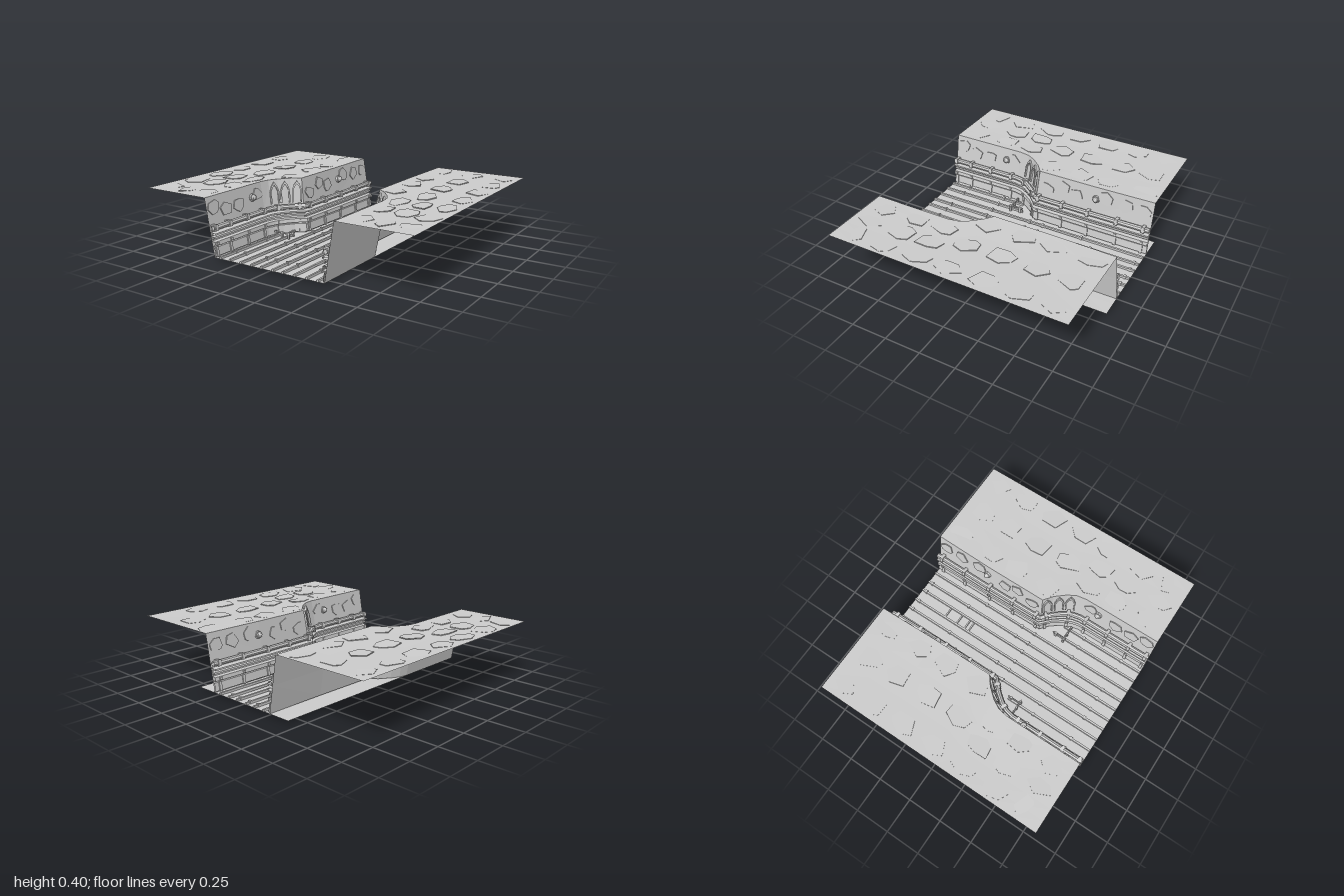
import * as THREE from 'three';

const mat = new THREE.MeshStandardMaterial({ color: 0xcccccc, flatShading: true, side: THREE.DoubleSide });
const FLOOR = 0.015, TOP = 0.4, END = 0.835;

// wall line on the left side, back to front, as [x, z] at its crest and at its foot
const crest = [[0.33, -END], [0.32, -0.4], [0.32, 0.03], [0.385, 0.08], [0.445, 0.15], [0.478, 0.21], [0.49, 0.28], [0.49, END]];
const foot = [[0.265, -END], [0.265, -0.4], [0.27, 0.055], [0.33, 0.1], [0.38, 0.17], [0.41, 0.23], [0.425, 0.29], [0.425, END]];

let seed = 7;
const rand = (a = 0, b = 1) => {
  seed = (seed * 16807) % 2147483647;
  return a + (b - a) * seed / 2147483647;
};

function add(parent, name, geometry, x = 0, y = 0, z = 0) {
  const mesh = new THREE.Mesh(geometry, mat);
  mesh.name = name;
  mesh.position.set(x, y, z);
  parent.add(mesh);
  return mesh;
}

// skin over rows of points
function loft(rows) {
  const n = rows[0].length, index = [];
  for (let i = 0; i < rows.length - 1; i++) {
    for (let j = 0; j < n - 1; j++) {
      const a = i * n + j, b = a + n;
      index.push(a, b, a + 1, b, b + 1, a + 1);
    }
  }
  const g = new THREE.BufferGeometry();
  g.setAttribute('position', new THREE.Float32BufferAttribute(rows.flat(2), 3));
  g.setIndex(index);
  g.computeVertexNormals();
  return g;
}

// point on the sloped wall at path index i and height y, moved d into the trench
function wallPoint(i, y, d) {
  const k = (y - FLOOR) / (TOP - FLOOR);
  const p = foot[i], q = crest[i];
  const a = foot[Math.max(0, i - 1)], b = foot[Math.min(foot.length - 1, i + 1)];
  let tx = b[0] - a[0], tz = b[1] - a[1];
  const len = Math.hypot(tx, tz);
  if (i === 0 || i === foot.length - 1) { tx = 0; tz = len; }
  return [p[0] + (q[0] - p[0]) * k - d * tz / len, y, p[1] + (q[1] - p[1]) * k + d * tx / len];
}

// sweep a section of [depth, height] pairs along the wall
const sweep = section => loft(foot.map((_, i) => section.map(([d, y]) => wallPoint(i, y, d))));

// stand an object on the wall: fraction f of segment i, z axis pointing into the trench
function mount(object, i, f, y, d = 0) {
  const at = (h, t) => new THREE.Vector3(...wallPoint(i, h, d)).lerp(new THREE.Vector3(...wallPoint(i + 1, h, d)), t);
  const p = at(y, f), along = at(y, 1).sub(at(y, 0)).normalize();
  const up = at(y + 0.05, f).sub(p);
  up.addScaledVector(along, -up.dot(along)).normalize();
  const inward = new THREE.Vector3().crossVectors(along, up).normalize();
  object.quaternion.setFromRotationMatrix(new THREE.Matrix4().makeBasis(along, up, inward));
  object.position.copy(p);
}

// irregular flat stone lying in the xy plane
function stone(rx, ry, depth) {
  const n = 5 + Math.floor(rand(0, 3)), pts = [];
  for (let i = 0; i < n; i++) {
    const a = (i + rand(-0.3, 0.3)) / n * Math.PI * 2, r = rand(0.75, 1.1);
    pts.push(new THREE.Vector2(Math.cos(a) * rx * r, Math.sin(a) * ry * r));
  }
  return new THREE.ExtrudeGeometry(new THREE.Shape(pts), { depth, bevelEnabled: false });
}

function edgeX(z) {
  for (let i = 0; i < crest.length - 1; i++) {
    const [x0, z0] = crest[i], [x1, z1] = crest[i + 1];
    if (z <= z1) return x0 + (x1 - x0) * (z - z0) / (z1 - z0);
  }
  return crest.at(-1)[0];
}

function buildSide() {
  const side = new THREE.Group();
  add(side, 'trenchWall', sweep([[0, FLOOR], [0, 0.2], [0, TOP]]));

  // upper ground, sagging slightly in the middle
  const zs = [...crest.map(p => p[1]), -0.62, -0.2, 0.47, 0.65].sort((a, b) => a - b);
  add(side, 'upperGround', loft(zs.map(z => {
    const x0 = edgeX(z), row = [];
    for (let j = 0; j <= 6; j++) {
      const sag = 0.008 * Math.sin(Math.PI * j / 6) * Math.cos(z / END * Math.PI / 2);
      row.push([x0 + (1 - x0) * j / 6, TOP - sag, z]);
    }
    return row;
  })));

  // cracked slabs barely rising from the ground
  for (let i = 0; i < 7; i++) {
    for (let j = 0; j < 3; j++) {
      const z = -0.7 + i * 0.233 + rand(-0.02, 0.02), x0 = edgeX(z) + 0.1;
      const slab = add(side, 'groundSlab', stone(0.075, 0.095, 0.006), x0 + (0.9 - x0) * j / 2, TOP - 0.006, z);
      slab.rotation.set(-Math.PI / 2 + rand(-0.04, 0.04), rand(-0.04, 0.04), 0);
    }
  }

  // plinth, rails and pipe along the lower wall
  const bands = [[0.02, 0.082, 0.012], [0.09, 0.122, 0.028], [0.134, 0.152, 0.022], [0.162, 0.178, 0.042]];
  for (const [y0, y1, d] of bands) {
    add(side, 'wallRail', sweep([[0, y0], [d, y0 + 0.003], [d, y1 - 0.003], [0, y1]]));
  }
  const ring = Array.from({ length: 9 }, (_, k) => {
    const a = k / 8 * Math.PI * 2;
    return [0.027 + 0.017 * Math.cos(a), 0.208 + 0.017 * Math.sin(a)];
  });
  add(side, 'wallPipe', sweep(ring));

  // clamps and bolts, as [segment, fraction]
  const stations = [[0, 0.1], [0, 0.55], [1, 0.05], [1, 0.5], [1, 0.93], [2, 0.5], [4, 0.5], [6, 0.08], [6, 0.4], [6, 0.72], [6, 0.96]];
  for (const [i, f] of stations) {
    mount(add(side, 'pipeClamp', new THREE.BoxGeometry(0.022, 0.042, 0.046)), i, f, 0.208, 0.025);
    mount(add(side, 'railBolt', new THREE.BoxGeometry(0.018, 0.018, 0.012)), i, f, 0.106, 0.03);
    mount(add(side, 'plinthPost', new THREE.BoxGeometry(0.02, 0.065, 0.01)), i, f, 0.052, 0.015);
  }

  // rough stones on the upper wall
  const rocks = [[0, 0.15], [0, 0.45], [0, 0.8], [1, 0.3], [1, 0.55], [1, 0.82], [6, 0.1], [6, 0.45], [6, 0.68], [6, 0.88]];
  for (const [i, f] of rocks) {
    mount(add(side, 'wallStone', stone(0.055, 0.05, 0.007)), i, f, rand(0.28, 0.335));
  }

  // pointed arch frames around the bend
  for (const i of [2, 3, 4]) {
    const w = i === 2 ? 0.036 : 0.034;
    const arch = s => [[-w * s, -0.075], [-w * s, 0.01], [-w * s * 0.6, 0.05 * s], [0, 0.078 * s], [w * s * 0.6, 0.05 * s], [w * s, 0.01], [w * s, -0.075]]
      .map(p => new THREE.Vector2(...p));
    const frame = new THREE.Shape([...arch(1), ...arch(0.72).reverse()]);
    mount(add(side, 'wallArch', new THREE.ExtrudeGeometry(frame, { depth: 0.012, bevelEnabled: false })), i, 0.5, 0.305);
  }

  // round wall lamps
  for (const [i, f] of [[0, 0.96], [6, 0.2]]) {
    const lamp = new THREE.Group();
    lamp.name = 'wallLamp';
    add(lamp, 'lampBase', new THREE.CylinderGeometry(0.025, 0.028, 0.014, 10).rotateX(Math.PI / 2), 0, 0, 0.006);
    add(lamp, 'lampDome', new THREE.SphereGeometry(0.02, 10, 6), 0, 0, 0.015);
    side.add(lamp);
    mount(lamp, i, f, 0.312);
  }

  // ribs on the floor, the outer two only in the wide part, with clips
  for (const [x, z0] of [[0.045, -END], [0.122, -END], [0.208, -END], [0.298, 0.16], [0.378, 0.2]]) {
    add(side, 'floorRib', new THREE.BoxGeometry(0.014, 0.016, END - z0), x, FLOOR + 0.006, (END + z0) / 2);
    for (const z of [-0.8, -0.47, -0.365, -0.055, 0.05, 0.37, 0.68]) {
      if (z > z0 && rand() < 0.65) add(side, 'ribClip', new THREE.BoxGeometry(0.022, 0.022, 0.016), x, FLOOR + 0.008, z);
    }
  }

  // low pipe stand in front of the bend
  const stand = new THREE.Group();
  stand.name = 'pipeStand';
  add(stand, 'crossPipe', new THREE.CylinderGeometry(0.006, 0.006, 0.13, 8).rotateZ(Math.PI / 2), 0.33, 0.05, 0.25);
  add(stand, 'feedPipe', new THREE.CylinderGeometry(0.006, 0.006, 0.11, 8).rotateX(Math.PI / 2), 0.29, 0.05, 0.21);
  for (const x of [0.275, 0.33, 0.385]) add(stand, 'standLeg', new THREE.BoxGeometry(0.012, 0.045, 0.014), x, 0.035, 0.25);
  add(stand, 'standLeg', new THREE.BoxGeometry(0.016, 0.045, 0.016), 0.29, 0.035, 0.18);
  side.add(stand);
  return side;
}

export function createModel() {
  const model = new THREE.Group();
  model.name = 'trench';

  // floor sheet, running under both walls and sagging slightly
  const rows = [];
  for (let i = 0; i <= 8; i++) {
    const row = [], v = i / 4 - 1;
    for (let j = 0; j <= 8; j++) {
      const u = j / 4 - 1;
      row.push([u * 0.425, FLOOR - 0.015 * (1 - u * u) * (1 - v * v), v * END]);
    }
    rows.push(row);
  }
  add(model, 'floor', loft(rows));

  // ladder rungs between the middle ribs
  for (const z of [-0.57, -0.47, -0.4, -0.365]) {
    add(model, 'floorRung', new THREE.BoxGeometry(0.09, 0.012, 0.01), 0, FLOOR + 0.003, z);
  }

  for (const s of [1, -1]) {
    seed = 7;
    const side = buildSide();
    side.name = s > 0 ? 'leftSide' : 'rightSide';
    side.scale.x = s;
    model.add(side);
  }
  return model;
}
